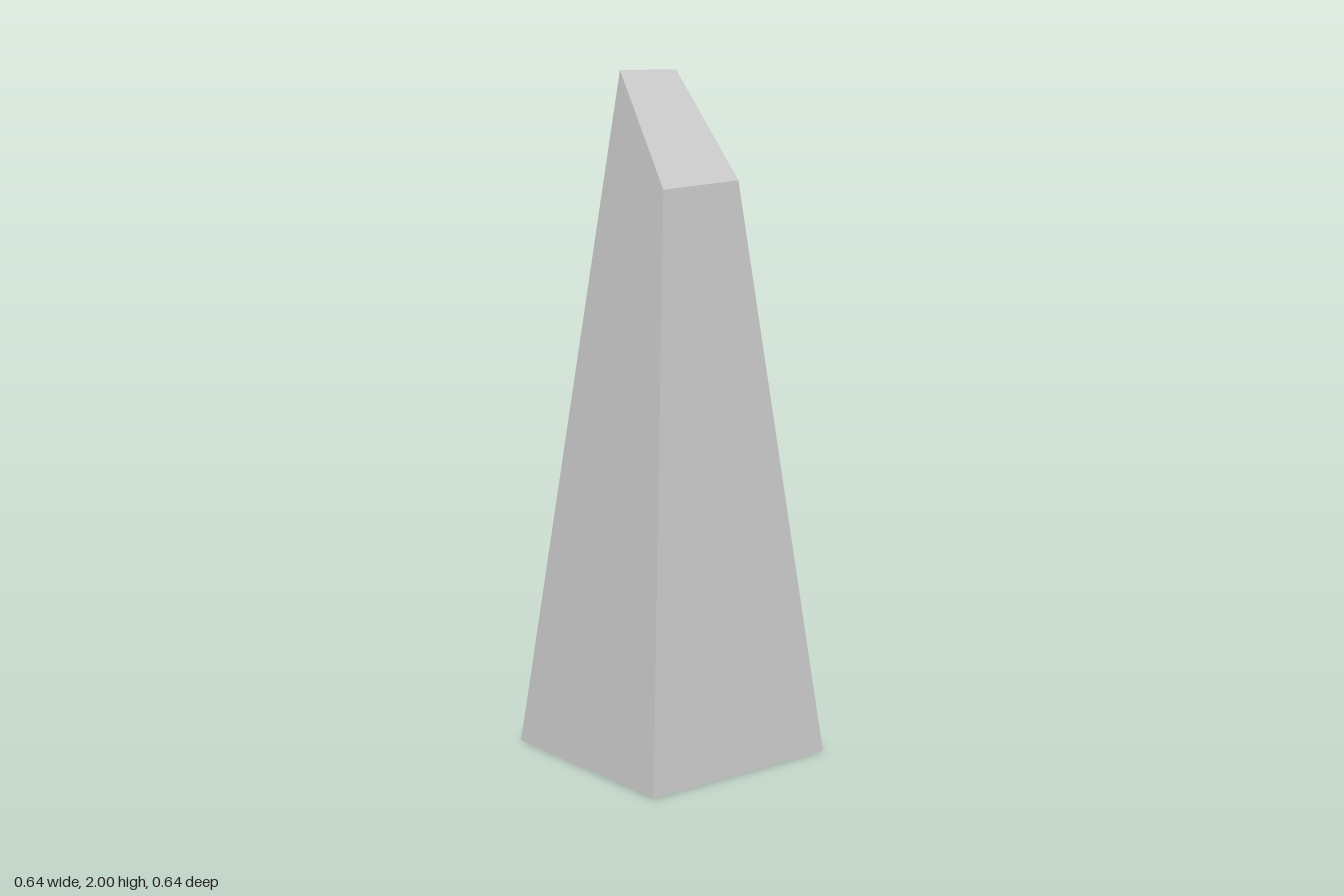
import * as THREE from 'three';

// Half width of the square tapering shaft at height y
const halfWidth = (y) => 0.322 - 0.1095 * y;

// Height of the slanted cut at each upper corner
function cutHeight(x, z) {
  if (x < 0) return 2;
  return z > 0 ? 1.675 : 1.69;
}

export function createModel() {
  const group = new THREE.Group();
  group.name = 'obelisk';

  // Square shaft: a box whose corners follow the taper and the slanted cut
  const geometry = new THREE.BoxGeometry(1, 1, 1);
  const p = geometry.attributes.position;
  for (let i = 0; i < p.count; i++) {
    const x = p.getX(i), z = p.getZ(i);
    const y = p.getY(i) > 0 ? cutHeight(x, z) : 0;
    const h = halfWidth(y);
    p.setXYZ(i, Math.sign(x) * h, y, Math.sign(z) * h);
  }
  geometry.computeVertexNormals();

  const material = new THREE.MeshStandardMaterial({ color: 0xcccccc, flatShading: true });
  const shaft = new THREE.Mesh(geometry, material);
  shaft.name = 'slantCutShaft';
  group.add(shaft);
  return group;
}
